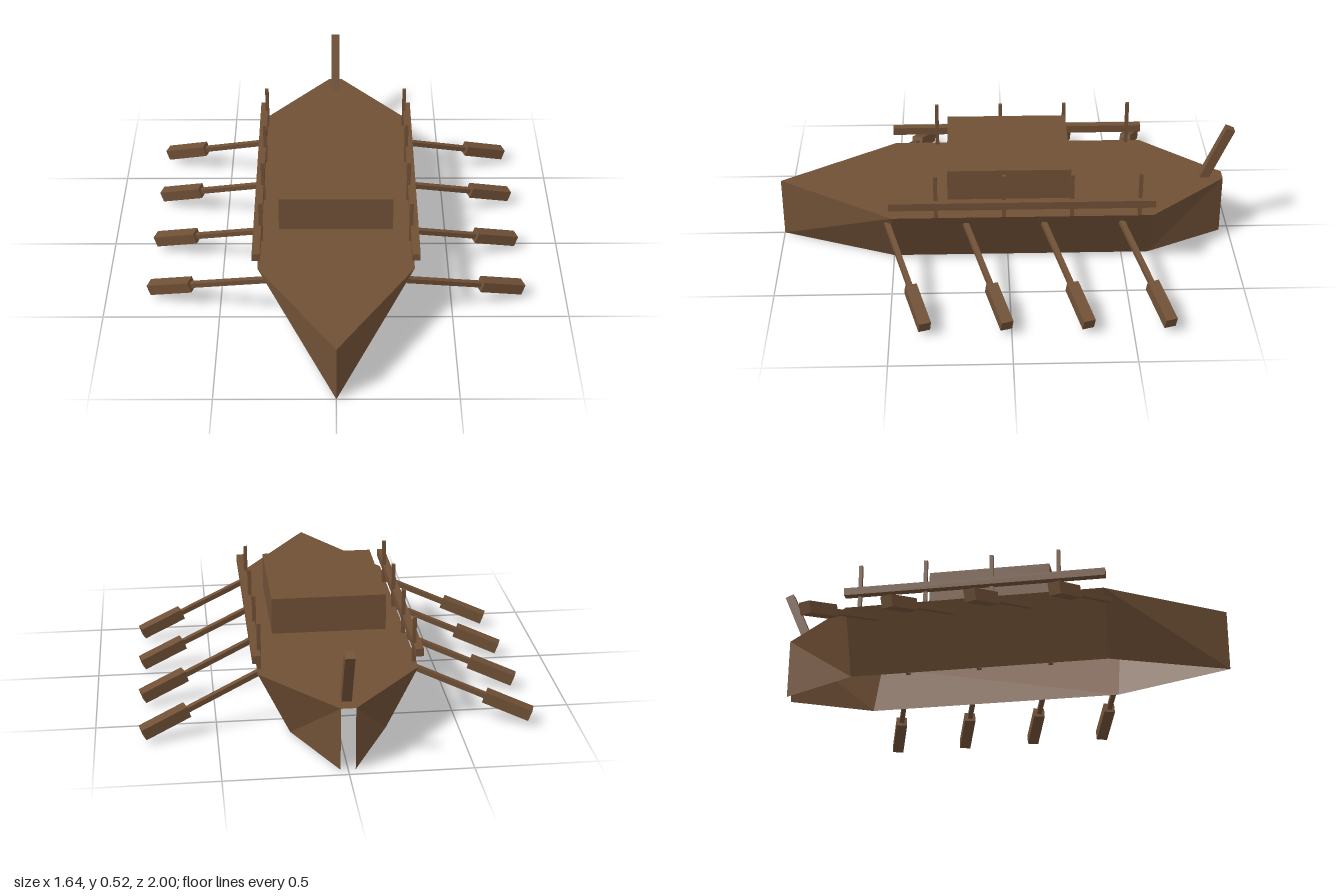
import * as THREE from 'three';

export function createModel() {
  const group = new THREE.Group();
  group.name = 'rowingBarge';
  const wood = new THREE.MeshStandardMaterial({ color: 0x705036, side: THREE.DoubleSide, flatShading: true });
  wood.name = 'brownWood';

  const add = (name, geometry) => {
    const mesh = new THREE.Mesh(geometry, wood);
    mesh.name = name;
    group.add(mesh);
    return mesh;
  };
  const box = (name, w, h, d, x, y, z) => {
    const mesh = add(name, new THREE.BoxGeometry(w, h, d));
    mesh.position.set(x, y, z);
    return mesh;
  };
  // Square bar running between two points
  const bar = (name, from, to, size) => {
    const a = new THREE.Vector3(...from), b = new THREE.Vector3(...to);
    const mesh = add(name, new THREE.BoxGeometry(size, size, a.distanceTo(b)));
    mesh.position.copy(a).add(b).multiplyScalar(0.5);
    mesh.lookAt(b);
    return mesh;
  };
  const surface = (name, triangles) => {
    const geometry = new THREE.BufferGeometry();
    geometry.setAttribute('position', new THREE.Float32BufferAttribute(triangles.flat(2), 3));
    geometry.computeVertexNormals();
    return add(name, geometry);
  };

  // Hull stations from bow to stern: half width at deck, half width at keel, z
  const H = 0.27;
  const stations = [[0, 0, 1], [0.33, 0.2, 0.5], [0.33, 0.2, -0.62], [0.03, 0.03, -0.96]];
  const top = (i, s) => [s * stations[i][0], H, stations[i][2]];
  const low = (i, s) => [s * stations[i][1], 0, stations[i][2]];

  // Flared side walls, open underneath and at the stern
  for (const s of [1, -1]) {
    const walls = [];
    for (let i = 0; i < 3; i++) {
      const quad = i === 0
        ? [[top(0, s), low(0, s), top(1, s)], [low(0, s), low(1, s), top(1, s)]]
        : [[top(i, s), low(i, s), top(i + 1, s)], [low(i, s), low(i + 1, s), top(i + 1, s)]];
      for (const t of quad) walls.push(s > 0 ? t : [t[0], t[2], t[1]]);
    }
    // Order corners so the outside is the front
    surface(s > 0 ? 'leftHullWall' : 'rightHullWall', walls.map(([a, b, c]) => [a, c, b]));
  }

  // Flat deck
  const deck = [[top(0, 1), top(1, 1), top(1, -1)]];
  for (let i = 1; i < 3; i++) {
    deck.push([top(i, 1), top(i + 1, 1), top(i, -1)], [top(i, -1), top(i + 1, 1), top(i + 1, -1)]);
  }
  surface('deck', deck);

  // Cabin and stern steering post
  box('cabin', 0.49, 0.16, 0.53, 0, 0.37, -0.005);
  bar('steeringPost', [0, 0.265, -0.876], [0, 0.508, -0.981], 0.04);

  for (const s of [1, -1]) {
    // Railing
    box('rail', 0.034, 0.034, 1.135, s * 0.334, 0.337, -0.057);
    for (let i = 0; i < 4; i++) {
      box('railPost', 0.016, 0.2, 0.016, s * 0.32, 0.37, 0.31 - i * 0.29);

      // Oars swept toward the stern, each a thin shaft with a square blade
      const z = 0.52 - i * 0.335;
      const along = (x) => [s * x, 0.225 - (x - 0.3) * 0.356, z - (x - 0.3) * 0.327];
      bar('oarShaft', along(0.295), along(0.63), 0.022);
      bar('oarBlade', along(0.62), along(0.805), 0.05);
    }
  }
  return group;
}
